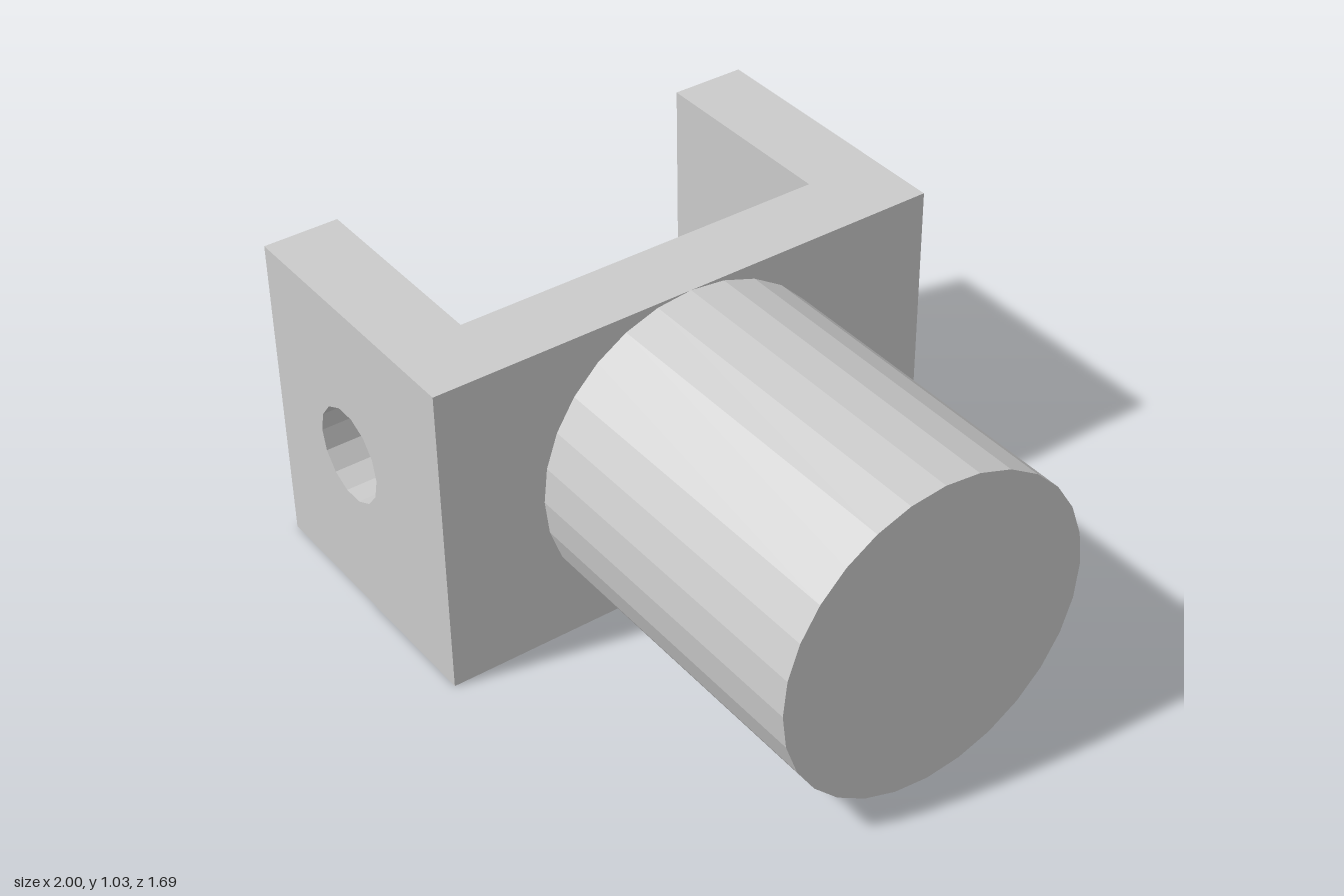
import * as THREE from 'three';

const HEIGHT = 1.03;      // bracket height
const BACK = -1;          // free ends of the arms
const FACE = -0.095;      // plate face that carries the shaft
const PLATE = 0.24;       // wall thickness
const OUTER = 0.847;      // half width of the bracket
const INNER = OUTER - PLATE;

export function createModel() {
  const group = new THREE.Group();
  const material = new THREE.MeshStandardMaterial({ color: 0xcccccc, flatShading: true });

  const add = (name, geometry, x, y, z) => {
    const mesh = new THREE.Mesh(geometry, material);
    mesh.name = name;
    mesh.position.set(x, y, z);
    group.add(mesh);
  };

  // Side arm profile with a 14-sided pin hole
  const profile = new THREE.Shape();
  profile.moveTo(BACK, 0);
  profile.lineTo(FACE, 0);
  profile.lineTo(FACE, HEIGHT);
  profile.lineTo(BACK, HEIGHT);
  profile.closePath();
  const hole = new THREE.Path();
  hole.absarc(-0.607, 0.52, 0.152, 0, Math.PI * 2, true);
  profile.holes.push(hole);
  const armGeometry = new THREE.ExtrudeGeometry(profile, {
    depth: PLATE, bevelEnabled: false, curveSegments: 7,
  });
  add('leftArm', armGeometry, 0, 0, INNER);
  add('rightArm', armGeometry, 0, 0, -OUTER);

  // Cross plate joining the arms
  add('crossPlate', new THREE.BoxGeometry(PLATE, HEIGHT, INNER * 2), FACE - PLATE / 2, HEIGHT / 2, 0);

  // Solid round shaft
  const length = 1 - FACE;
  const shaft = new THREE.CylinderGeometry(0.514, 0.514, length, 28);
  shaft.rotateZ(-Math.PI / 2);
  add('shaft', shaft, FACE + length / 2, 0.516, 0);

  return group;
}
